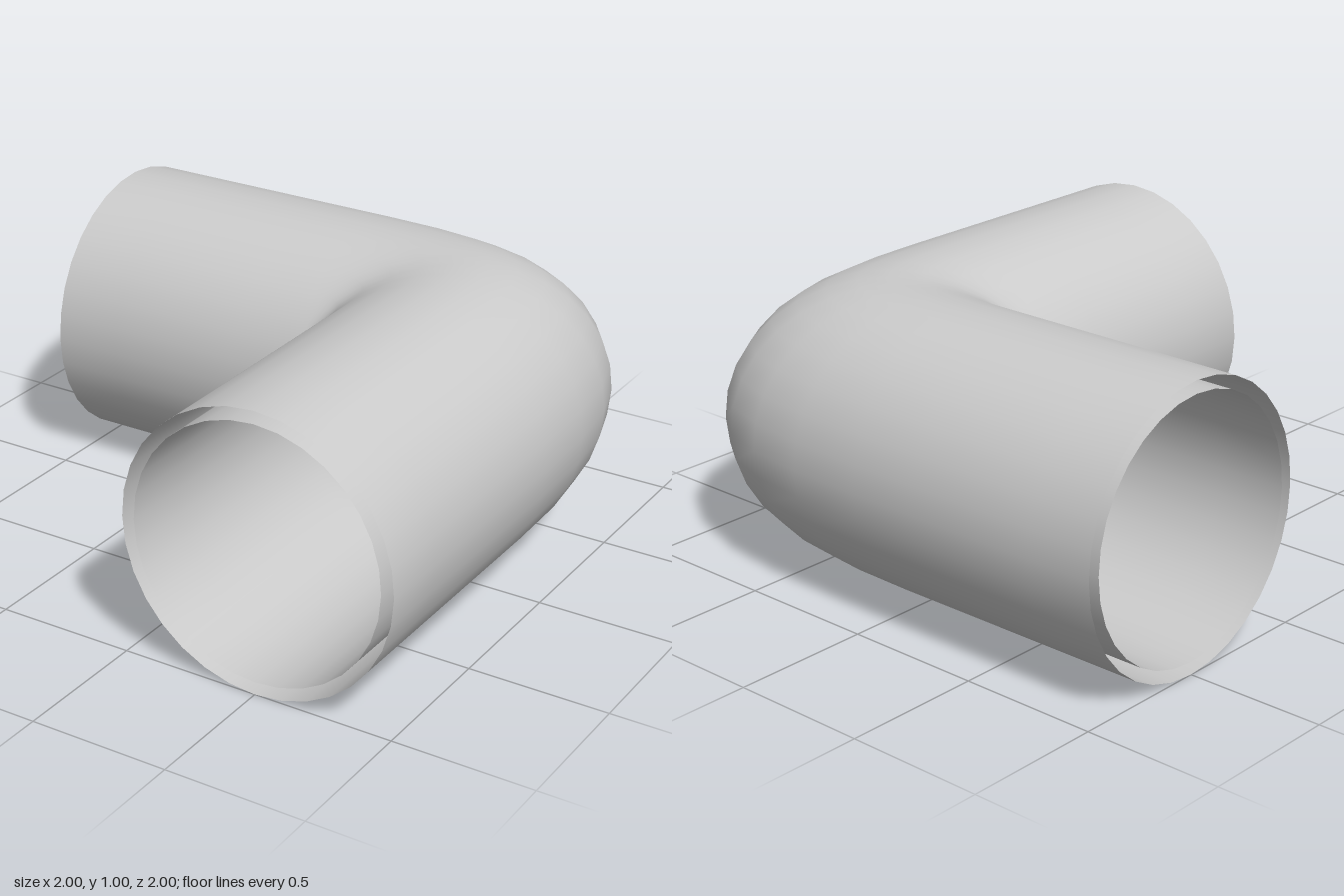
import * as THREE from 'three';
import { mergeVertices } from 'three/addons/utils/BufferGeometryUtils.js';

const SIDES = 32, BEND = 8, LEG = 4;

// Outer edge of the bend, scaled towards the inside corner for the other lines of the pipe
const bend = new THREE.CubicBezierCurve(
  new THREE.Vector2(0, -1), new THREE.Vector2(0.85, -1),
  new THREE.Vector2(1, -0.85), new THREE.Vector2(1, 0));

// One open elbow shell: straight leg along x, bend, straight leg along z
function elbowShell(radius, inward) {
  const stations = [];
  for (let i = 0; i < LEG; i++) stations.push(d => [-1 + i / LEG, -d]);
  for (let i = 0; i <= BEND; i++) {
    const p = bend.getPoint(i / BEND);
    stations.push(d => [p.x * d, p.y * d]);
  }
  for (let i = 1; i <= LEG; i++) stations.push(d => [d, i / LEG]);

  const positions = [], index = [];
  stations.forEach((at, i) => {
    for (let j = 0; j < SIDES; j++) {
      const a = (j / SIDES) * Math.PI * 2;
      const [x, z] = at(0.5 + radius * Math.cos(a));
      positions.push(x, 0.5 + radius * Math.sin(a), z);
      if (i === stations.length - 1) continue;
      const k = (j + 1) % SIDES;
      const p = i * SIDES + j, q = i * SIDES + k, r = p + SIDES, s = q + SIDES;
      if (inward) index.push(p, r, q, q, r, s);
      else index.push(p, q, r, q, s, r);
    }
  });
  const geometry = new THREE.BufferGeometry();
  geometry.setAttribute('position', new THREE.Float32BufferAttribute(positions, 3));
  geometry.setIndex(index);
  // Join the points that meet at the inside corner so it shades smoothly
  const merged = mergeVertices(geometry, 1e-4);
  merged.computeVertexNormals();
  return merged;
}

export function createModel() {
  const group = new THREE.Group();
  group.name = 'pipeElbow';
  const material = new THREE.MeshStandardMaterial({ color: 0xcccccc, side: THREE.DoubleSide });

  // Two nested walls, open at both ends
  for (const [name, radius, inward] of [['outerWall', 0.5, false], ['innerWall', 0.455, true]]) {
    const mesh = new THREE.Mesh(elbowShell(radius, inward), material);
    mesh.name = name;
    group.add(mesh);
  }
  return group;
}
